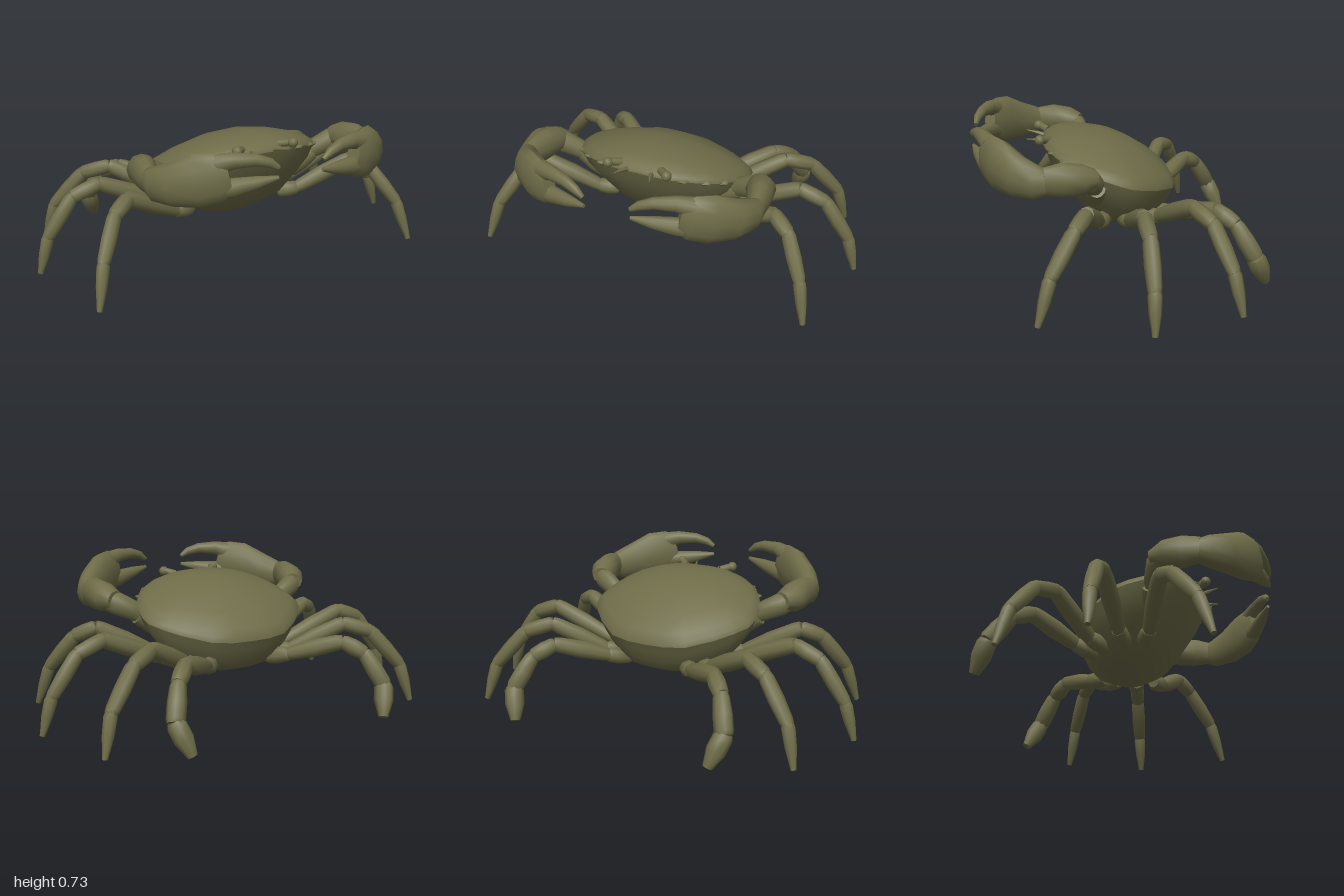
import * as THREE from 'three';
import { toCreasedNormals } from 'three/addons/utils/BufferGeometryUtils.js';

const V = (x, y, z) => new THREE.Vector3(x, y, z);

// Skin closed rings of points into one surface
function skin(rings) {
  const n = rings[0].length, pos = [], idx = [];
  rings.forEach(r => r.forEach(p => pos.push(p.x, p.y, p.z)));
  for (let i = 0; i < rings.length - 1; i++) {
    for (let j = 0; j < n; j++) {
      const k = (j + 1) % n, a = i * n + j, b = a + n, c = i * n + k, d = c + n;
      idx.push(a, b, c, b, d, c);
    }
  }
  const g = new THREE.BufferGeometry();
  g.setAttribute('position', new THREE.Float32BufferAttribute(pos, 3));
  g.setIndex(idx);
  return toCreasedNormals(g, 0.95);
}

// Closed limb through stations [x, y, z, half width, half height]
function limb(stations, m = 1, sides = 10) {
  const c = stations.map(s => V(s[0] * m, s[1], s[2]));
  const last = c.length - 1;
  const rings = stations.map((s, i) => {
    const t = c[Math.min(i + 1, last)].clone().sub(c[Math.max(i - 1, 0)]).normalize();
    const side = t.clone().cross(V(0, 1, 0)).normalize();
    const up = side.clone().cross(t);
    return Array.from({ length: sides }, (_, j) => {
      const a = j / sides * Math.PI * 2;
      return c[i].clone().addScaledVector(side, Math.cos(a) * s[3]).addScaledVector(up, Math.sin(a) * s[4]);
    });
  });
  const cap = p => Array.from({ length: sides }, () => p.clone());
  return skin([cap(c[0]), ...rings, cap(c[last])]);
}

// Straight leg segment between two joints, with radii at start, middle and end
function segment(a, b, r0, r1, r2) {
  const at = (t, r) => [0, 1, 2].map(k => a[k] + (b[k] - a[k]) * t).concat(r, r);
  return [at(-0.05, r0 * 0.8), at(0.08, r0), at(0.5, r1), at(0.92, r2), at(1.02, r2 * 0.85)];
}

// Half outline of the shell: [x, position from back 0 to front 1]
const OUTLINE = [[0, 0.985], [0.09, 0.985], [0.16, 0.97], [0.27, 0.9], [0.35, 0.805], [0.395, 0.7], [0.425, 0.58],
  [0.437, 0.46], [0.43, 0.37], [0.38, 0.27], [0.32, 0.175], [0.2, 0.04], [0.1, 0.005], [0, 0]];
const LOOP = [...OUTLINE, ...OUTLINE.slice(1, -1).reverse().map(([x, v]) => [-x, v])];

// Shell rings: [width scale, back z, front z, back y, front y]
const RIM = [1, -0.3, 0.36, 0.385, 0.605];
const UPPER = [[0, 0.06, 0.06, 0.65, 0.65], [0.4, -0.09, 0.2, 0.59, 0.66], [0.7, -0.2, 0.28, 0.513, 0.655],
  [0.9, -0.275, 0.335, 0.445, 0.637], [0.98, -0.295, 0.355, 0.41, 0.62], RIM];
const LOWER = [RIM, [0.95, -0.28, 0.33, 0.345, 0.525], [0.83, -0.255, 0.265, 0.29, 0.42],
  [0.67, -0.215, 0.185, 0.24, 0.3], [0.42, -0.16, 0.08, 0.213, 0.22], [0, -0.05, -0.05, 0.21, 0.21]];
const onRing = ([s, zb, zf, yb, yf], [x, v]) => V(x * s, yb + (yf - yb) * v, zb + (zf - zb) * v);

// Walking legs: joints from body to tip
const LEGS = {
  FrontLeg: [[0.25, 0.27, 0.065], [0.34, 0.285, 0.1], [0.61, 0.425, 0.175], [0.7, 0.38, 0.235], [0.8, 0.21, 0.345], [0.848, 0.015, 0.403]],
  MiddleLeg: [[0.25, 0.268, -0.025], [0.35, 0.29, -0.045], [0.67, 0.425, -0.07], [0.8, 0.375, -0.08], [0.93, 0.19, -0.083], [0.98, 0.015, -0.08]],
  RearLeg: [[0.21, 0.265, -0.12], [0.29, 0.285, -0.19], [0.53, 0.415, -0.31], [0.65, 0.375, -0.38], [0.79, 0.2, -0.45], [0.838, 0.015, -0.487]],
  SwimmingLeg: [[0.16, 0.26, -0.18], [0.23, 0.285, -0.27], [0.43, 0.36, -0.44], [0.505, 0.31, -0.52], [0.562, 0.165, -0.605], [0.515, 0.03, -0.668]],
};

// Leg segments: radii at start, middle and end
const SLIM = { hip: [0.038, 0.043, 0.038], thigh: [0.036, 0.044, 0.04], knee: [0.037, 0.039, 0.036],
  shin: [0.036, 0.038, 0.033], foot: [0.032, 0.028, 0.016] };
const PADDLE = { hip: [0.038, 0.044, 0.038], thigh: [0.036, 0.045, 0.04], knee: [0.038, 0.043, 0.038],
  shin: [0.038, 0.045, 0.044], foot: [0.046, 0.047, 0.028] };

// Claw parts as limb stations
const CLAW = {
  clawShoulder: [[0.29, 0.4, 0.105, 0.04, 0.05], [0.34, 0.435, 0.11, 0.05, 0.055], [0.41, 0.48, 0.115, 0.042, 0.05]],
  clawArm: [[0.38, 0.47, 0.115, 0.03, 0.04], [0.43, 0.5, 0.125, 0.042, 0.05], [0.51, 0.54, 0.15, 0.05, 0.058], [0.55, 0.56, 0.18, 0.04, 0.05]],
  clawWrist: [[0.52, 0.56, 0.135, 0.05, 0.045], [0.545, 0.565, 0.195, 0.07, 0.072], [0.56, 0.57, 0.28, 0.057, 0.08], [0.573, 0.568, 0.36, 0.04, 0.065]],
  clawPalm: [[0.575, 0.565, 0.345, 0.038, 0.06], [0.565, 0.562, 0.39, 0.055, 0.08], [0.515, 0.576, 0.47, 0.065, 0.1],
    [0.43, 0.605, 0.55, 0.062, 0.124], [0.355, 0.625, 0.6, 0.048, 0.113], [0.315, 0.635, 0.62, 0.03, 0.085]],
  clawUpperFinger: [[0.37, 0.68, 0.59, 0.04, 0.05], [0.3, 0.7, 0.622, 0.034, 0.037], [0.21, 0.7, 0.655, 0.026, 0.028], [0.15, 0.683, 0.675, 0.02, 0.022], [0.112, 0.658, 0.683, 0.01, 0.011]],
  clawLowerFinger: [[0.37, 0.57, 0.59, 0.04, 0.05], [0.3, 0.578, 0.62, 0.036, 0.044], [0.2, 0.596, 0.655, 0.026, 0.029], [0.11, 0.613, 0.683, 0.008, 0.009]],
};

export function createModel() {
  const crab = new THREE.Group();
  crab.name = 'crab';
  const olive = new THREE.MeshStandardMaterial({ color: 0x6e6c48 });
  olive.name = 'olive shell';
  const add = (parent, name, geometry) => {
    const mesh = new THREE.Mesh(geometry, olive);
    mesh.name = name;
    parent.add(mesh);
    return mesh;
  };

  // Body
  add(crab, 'carapace', skin(UPPER.map(r => LOOP.map(p => onRing(r, p)))));
  add(crab, 'underside', skin(LOWER.map(r => LOOP.map(p => onRing(r, p)))));

  for (const m of [1, -1]) {
    const side = m > 0 ? 'left' : 'right';
    const half = new THREE.Group();
    half.name = side + 'Limbs';
    crab.add(half);

    // Low teeth along the front edge of the shell
    for (let i = 2; i < 6; i++) {
      const [p, q] = [OUTLINE[i], OUTLINE[i + 1]];
      const c = onRing(RIM, [(p[0] + q[0]) / 2, (p[1] + q[1]) / 2]);
      const out = V(c.x, 0.06, (c.z - 0.03) * 1.2).normalize();
      const a = c.clone().addScaledVector(out, -0.02), b = c.clone().addScaledVector(out, 0.014);
      add(half, 'shellTooth', limb([[...a.toArray(), 0.045, 0.02], [...b.toArray(), 0.006, 0.004]], m, 6));
    }

    // Eyes and antennae
    add(half, 'eyeStalk', limb([[0.1, 0.625, 0.32, 0.02, 0.02], [0.145, 0.64, 0.362, 0.018, 0.018]], m, 8));
    const eye = add(half, 'eye', new THREE.SphereGeometry(0.025, 10, 8));
    eye.position.set(0.147 * m, 0.638, 0.367);
    add(half, 'antenna', limb([[0.06, 0.605, 0.33, 0.014, 0.014], [0.07, 0.62, 0.375, 0.009, 0.009], [0.09, 0.63, 0.43, 0.002, 0.002]], m, 6));

    // Claw
    const claw = new THREE.Group();
    claw.name = side + 'Claw';
    half.add(claw);
    for (const [name, stations] of Object.entries(CLAW)) add(claw, name, limb(stations, m, 12));

    // Walking legs
    for (const [name, joints] of Object.entries(LEGS)) {
      const leg = new THREE.Group();
      leg.name = side + name;
      half.add(leg);
      const radii = name === 'SwimmingLeg' ? PADDLE : SLIM;
      Object.entries(radii).forEach(([part, r], i) => {
        add(leg, part, limb(segment(joints[i], joints[i + 1], ...r), m, 8));
      });
    }
  }
  return crab;
}
